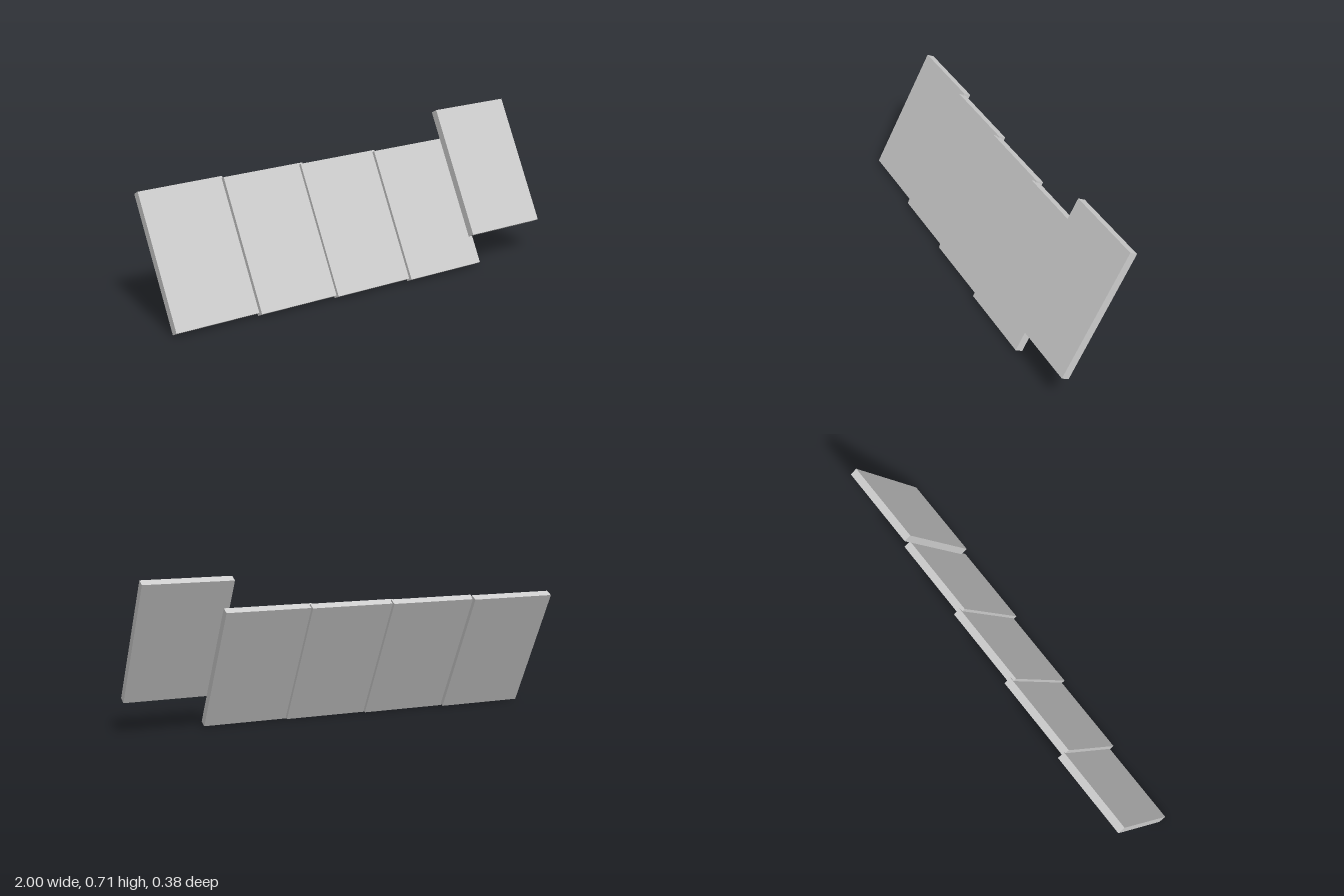
import * as THREE from 'three';

export function createModel() {
  const model = new THREE.Group();
  const material = new THREE.MeshStandardMaterial({ color: 0xcccccc, flatShading: true });

  // One flat card, shared by the whole row
  const card = new THREE.BoxGeometry(0.415, 0.623, 0.0367);
  const lean = -THREE.MathUtils.degToRad(28.05);

  // Card centres: four overlapping in a row, the last one raised
  const places = [
    ['firstCard', -0.7925, 0.2835, -0.0275],
    ['secondCard', -0.3825, 0.2835, -0.005],
    ['thirdCard', 0.0125, 0.2835, 0.012],
    ['fourthCard', 0.413, 0.2835, 0.0295],
    ['raisedCard', 0.7925, 0.424, 0.017],
  ];
  for (const [name, x, y, z] of places) {
    const mesh = new THREE.Mesh(card, material);
    mesh.name = name;
    mesh.position.set(x, y, z);
    mesh.rotation.x = lean;
    model.add(mesh);
  }
  return model;
}
